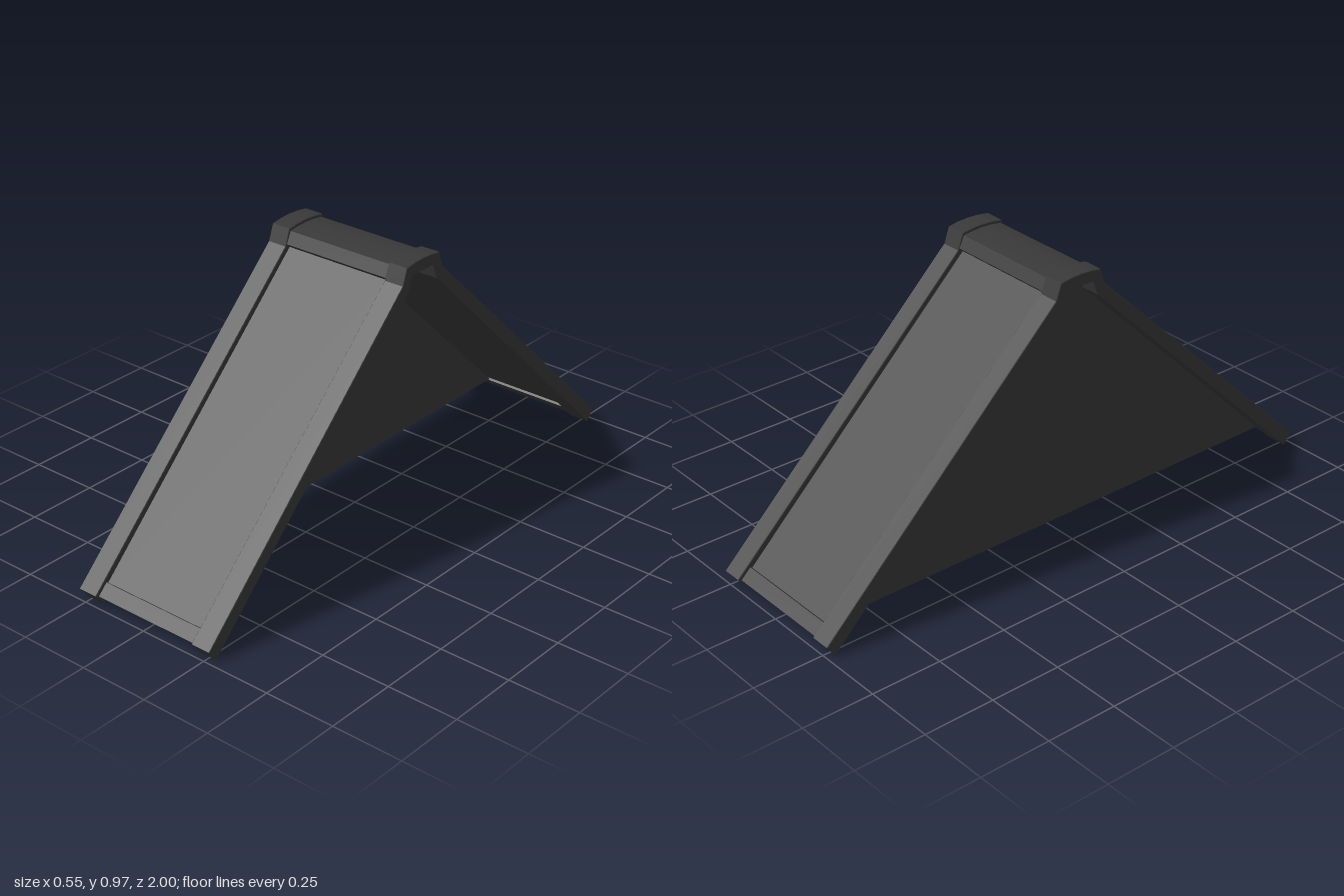
import * as THREE from 'three';

const material = new THREE.MeshStandardMaterial({ color: 0x393939 });

// Closed outline symmetric about z = 0, given the +z half of its upper and lower edges (eave to ridge)
function symmetricShape(upper, lower) {
  const flip = ([z, y]) => [-z, y];
  const pts = [
    ...upper, ...upper.filter(p => p[0] > 0).reverse().map(flip),
    ...lower.map(flip), ...lower.filter(p => p[0] > 0).reverse(),
  ];
  return new THREE.Shape(pts.map(([z, y]) => new THREE.Vector2(z, y)));
}

// Extrudes a z-y outline along x between x0 and x1
function slab(name, shape, x0, x1, bevel = 0) {
  const geometry = new THREE.ExtrudeGeometry(shape, {
    depth: x1 - x0 - 2 * bevel, bevelEnabled: bevel > 0,
    bevelSize: bevel, bevelThickness: bevel, bevelOffset: -bevel, bevelSegments: 1,
  });
  geometry.translate(0, 0, x0 + bevel);
  geometry.rotateY(Math.PI / 2);
  const mesh = new THREE.Mesh(geometry, material);
  mesh.name = name;
  return mesh;
}

export function createModel() {
  const group = new THREE.Group();
  group.name = 'gableRoof';

  // Raised trim along both sides of the roof
  const trim = symmetricShape(
    [[1, 0.04], [0.1, 0.907], [0.08, 0.962], [0.04, 0.968], [0, 0.97]],
    [[0.97, 0], [0.07, 0.876], [0.051, 0.927], [0, 0.928]]
  );
  group.add(slab('leftTrim', trim, 0.202, 0.274, 0.002));
  group.add(slab('rightTrim', trim, -0.274, -0.202, 0.002));

  // Roof covering: eave lip, recessed slope and raised ridge cap, hollowed a little underneath
  const roof = symmetricShape(
    [[0.987, 0.034], [0.952, 0.068], [0.945, 0.064], [0.081, 0.9],
      [0.094, 0.913], [0.075, 0.953], [0.04, 0.958], [0, 0.96]],
    [[0.966, 0.013], [0.932, 0.046], [0.938, 0.052], [0.073, 0.888], [0.052, 0.934], [0, 0.936]]
  );
  group.add(slab('roofCovering', roof, -0.202, 0.202));

  // Gable wall set under the right side
  const wall = symmetricShape(
    [[0.925, 0.056], [0.072, 0.885], [0.053, 0.932], [0, 0.935]],
    [[0, 0.056]]
  );
  group.add(slab('gableWall', wall, -0.187, -0.128));

  return group;
}
